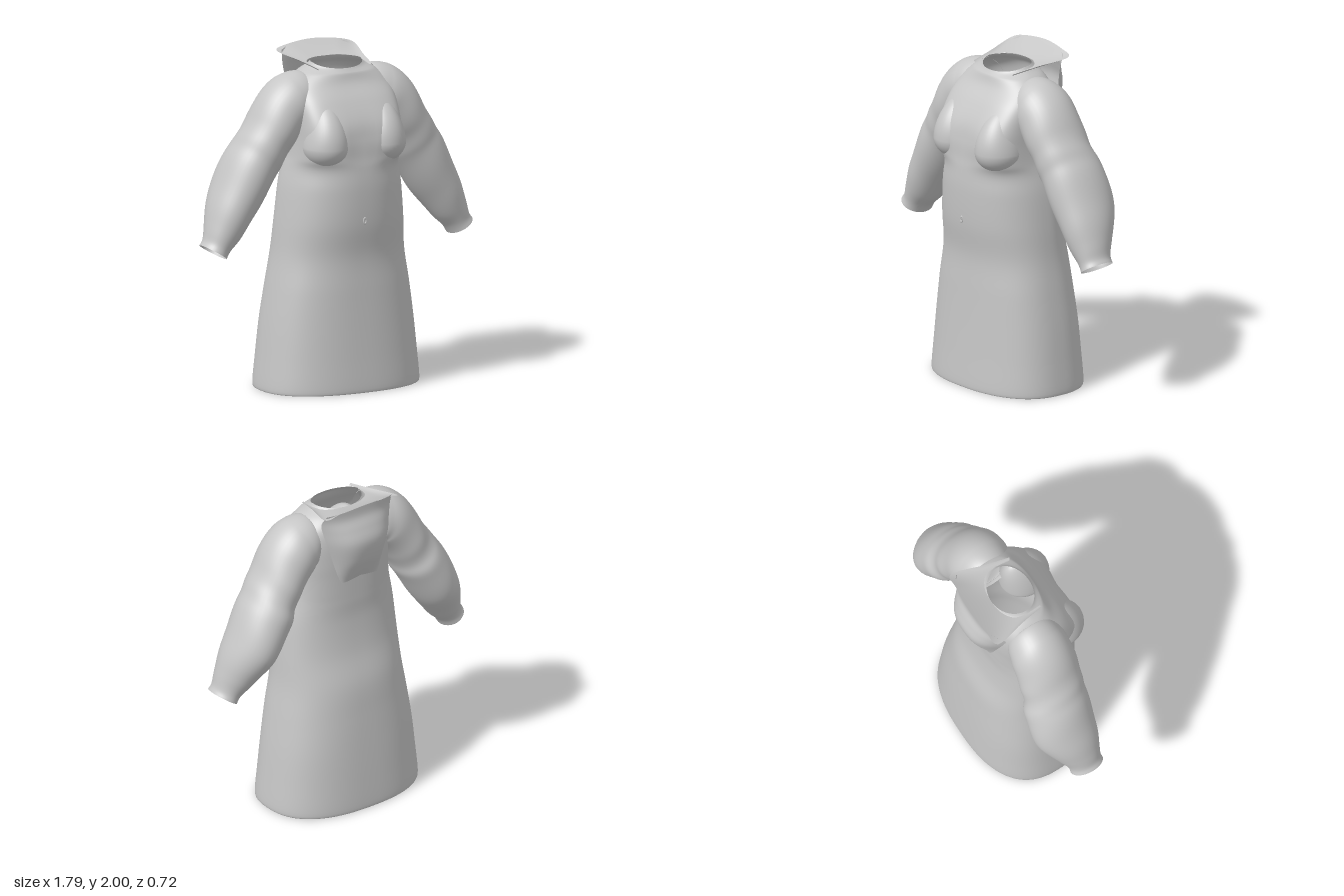
import * as THREE from 'three';

const cloth = new THREE.MeshStandardMaterial({ color: 0xc6c6c6, side: THREE.DoubleSide });
cloth.name = 'grey cloth';

// Smoothly resample a short table of section parameters
function resample(rows, n) {
  const out = [];
  for (let i = 0; i <= n; i++) {
    const t = (i / n) * (rows.length - 1);
    const k = Math.min(Math.floor(t), rows.length - 2), f = t - k;
    const at = (j) => rows[Math.max(0, Math.min(rows.length - 1, j))];
    out.push(rows[0].map((_, c) => {
      const [a, b, d, e] = [at(k - 1)[c], at(k)[c], at(k + 1)[c], at(k + 2)[c]];
      return b + 0.5 * f * (d - a + f * (2 * a - 5 * b + 4 * d - e + f * (3 * (b - d) + e - a)));
    }));
  }
  return out;
}

// Skin a list of point rows; closed rows join end to start
function skin(name, rows, closed, flip = false) {
  const m = rows[0].length, pos = rows.flat(2), index = [];
  for (let i = 0; i < rows.length - 1; i++) {
    for (let j = 0; j < (closed ? m : m - 1); j++) {
      const a = i * m + j, b = i * m + (j + 1) % m, c = a + m, d = b + m;
      if (flip) index.push(a, b, c, b, d, c);
      else index.push(a, c, b, b, c, d);
    }
  }
  const g = new THREE.BufferGeometry();
  g.setAttribute('position', new THREE.Float32BufferAttribute(pos, 3));
  g.setIndex(index);
  g.computeVertexNormals();
  const mesh = new THREE.Mesh(g, cloth);
  mesh.name = name;
  return mesh;
}

const power = (v, p) => Math.sign(v) * Math.abs(v) ** (2 / p);

// Gown: height, half width, front z, back z, front and back squareness
function makeGown() {
  const sections = resample([
    [0, 0.49, 0.33, -0.345, 2.4, 2.4],
    [0.02, 0.502, 0.34, -0.355, 2.4, 2.5],
    [0.2, 0.485, 0.33, -0.345, 2.4, 2.5],
    [0.4, 0.463, 0.32, -0.33, 2.4, 2.5],
    [0.6, 0.435, 0.312, -0.312, 2.4, 2.4],
    [0.8, 0.405, 0.308, -0.29, 2.3, 2.3],
    [1.0, 0.39, 0.335, -0.24, 2.3, 2.3],
    [1.2, 0.37, 0.345, -0.215, 2.3, 2.3],
    [1.33, 0.345, 0.34, -0.215, 2.4, 2.3],
    [1.4, 0.332, 0.335, -0.215, 3.4, 2.4],
    [1.5, 0.325, 0.333, -0.215, 4.2, 2.5],
    [1.6, 0.325, 0.308, -0.215, 4.2, 2.6],
    [1.72, 0.325, 0.238, -0.21, 3.6, 2.6],
    [1.81, 0.30, 0.17, -0.2, 2.8, 2.5],
    [1.87, 0.24, 0.145, -0.185, 2.2, 2.2],
    [1.905, 0.18, 0.13, -0.155, 2, 2],
    [1.925, 0.158, 0.122, -0.14, 2, 2],
  ], 96);
  const n = 96;
  return skin('gown', sections.map(([y, w, zf, zb, pf, pb]) =>
    Array.from({ length: n }, (_, j) => {
      const a = (j / n) * Math.PI * 2, front = Math.sin(a) > 0, p = front ? pf : pb;
      const s = power(Math.sin(a), p), x = w * power(Math.cos(a), p);
      // the neckline dips at the front, and the chest has a shallow valley
      const dip = Math.max(0, y - 1.87) * 0.5 * Math.max(0, s);
      const valley = 0.012 * Math.exp(-((x / 0.06) ** 2) - ((y - 1.52) / 0.1) ** 2);
      return [x, y - dip, front ? zf * s - valley : -zb * s];
    })), true);
}

// Sleeve: centre x, y, z, radius in the arm plane, radius along z
function makeSleeve(side) {
  const rows = resample([
    [0.215, 1.725, -0.015, 0.155, 0.15],
    [0.27, 1.715, -0.015, 0.17, 0.17],
    [0.345, 1.67, -0.015, 0.166, 0.185],
    [0.435, 1.545, -0.02, 0.15, 0.19],
    [0.5, 1.44, -0.03, 0.15, 0.188],
    [0.56, 1.34, -0.048, 0.156, 0.2],
    [0.67, 1.14, -0.05, 0.142, 0.19],
    [0.755, 0.98, -0.02, 0.11, 0.135],
    [0.8, 0.9, -0.008, 0.084, 0.105],
    [0.825, 0.86, -0.005, 0.083, 0.105],
  ], 72);
  const n = 40;
  return skin(side > 0 ? 'leftSleeve' : 'rightSleeve', rows.map(([x, y, z, r, rz], i) => {
    const p = rows[Math.max(0, i - 1)], q = rows[Math.min(rows.length - 1, i + 1)];
    const len = Math.hypot(q[0] - p[0], q[1] - p[1]);
    const nx = -(q[1] - p[1]) / len, ny = (q[0] - p[0]) / len;
    return Array.from({ length: n }, (_, j) => {
      const a = (j / n) * Math.PI * 2;
      // soft folds fading towards shoulder and cuff
      const k = 1 + 0.012 * Math.sin(i * 0.6 + 2 * Math.sin(a + 1)) * Math.sin((i / 72) * Math.PI);
      const u = r * k * Math.cos(a);
      return [side * (x + nx * u), y + ny * u, z + rz * k * Math.sin(a)];
    });
  }), true, side > 0);
}

// Bust: a sphere drawn out upwards, leaning into the chest, full below
function makeBust(side) {
  const g = new THREE.SphereGeometry(1, 40, 32);
  const p = g.attributes.position;
  for (let i = 0; i < p.count; i++) {
    const x = p.getX(i), y = p.getY(i), z = p.getZ(i), up = Math.max(0, y);
    p.setXYZ(i, side * (0.188 + x * (0.138 - 0.03 * up)), 1.465 + y * (y > 0 ? 0.27 : 0.128),
      0.205 - 0.06 * up * up + z * 0.155);
  }
  if (side < 0) g.index.array.reverse();
  g.computeVertexNormals();
  const mesh = new THREE.Mesh(g, cloth);
  mesh.name = side > 0 ? 'leftBust' : 'rightBust';
  return mesh;
}

// Collar: thin sheet rising from the neckline to the pointed hood corners
function makeCollar() {
  const half = [
    // inner x, y, z, outer x, y, z
    [0.165, 1.9, 0.09, 0.18, 1.905, 0.1],
    [0.17, 1.91, 0.0, 0.212, 1.93, -0.06],
    [0.155, 1.92, -0.08, 0.258, 1.96, -0.255],
    [0.085, 1.925, -0.13, 0.16, 1.988, -0.28],
    [0, 1.925, -0.14, 0, 2.0, -0.295],
  ];
  const all = [...half, ...half.slice(0, -1).reverse().map(([a, b, c, d, e, f]) => [-a, b, c, -d, e, f])];
  return skin('collar', resample(all, 48).map(([a, b, c, d, e, f]) => [[a, b, c],
    [(a + d) / 2, (b + e) / 2 - 0.006, (c + f) / 2], [d, e, f]]), false, true);
}

// Hood: sheet hanging behind; height, half width, middle z, edge z
function makeHood() {
  const rows = resample([
    [1.995, 0.235, -0.29, -0.235],
    [1.93, 0.25, -0.292, -0.2],
    [1.86, 0.238, -0.32, -0.2],
    [1.77, 0.215, -0.344, -0.212],
    [1.65, 0.18, -0.32, -0.22],
    [1.56, 0.155, -0.28, -0.228],
    [1.495, 0.13, -0.245, -0.235],
  ], 30);
  return skin('hood', rows.map(([y, w, zm, ze], i) => Array.from({ length: 25 }, (_, j) => {
    const t = j / 12 - 1, e = t * t * t * t;
    const drop = (i / 30) * 0.02 * (Math.abs(t) - 0.5) + (1 - i / 30) * 0.03 * t * t;
    return [w * t, y - drop, zm + (ze - zm) * (0.35 * t * t + 0.65 * e)];
  })), false);
}

export function createModel() {
  const model = new THREE.Group();
  model.name = 'hoodedGown';
  model.add(makeGown(), makeCollar(), makeHood());
  for (const side of [1, -1]) model.add(makeSleeve(side), makeBust(side));

  // Small fastener on the waist
  const fastener = new THREE.Mesh(new THREE.TorusGeometry(0.009, 0.004, 8, 16), cloth);
  fastener.scale.set(1, 1.8, 1);
  fastener.position.set(0, 1.025, 0.339);
  fastener.name = 'fastener';

  // Tab at the front hem
  const tab = new THREE.Mesh(new THREE.BoxGeometry(0.07, 0.008, 0.012), cloth);
  tab.position.set(0, 0.004, 0.33);
  tab.name = 'hemTab';
  model.add(fastener, tab);
  return model;
}
